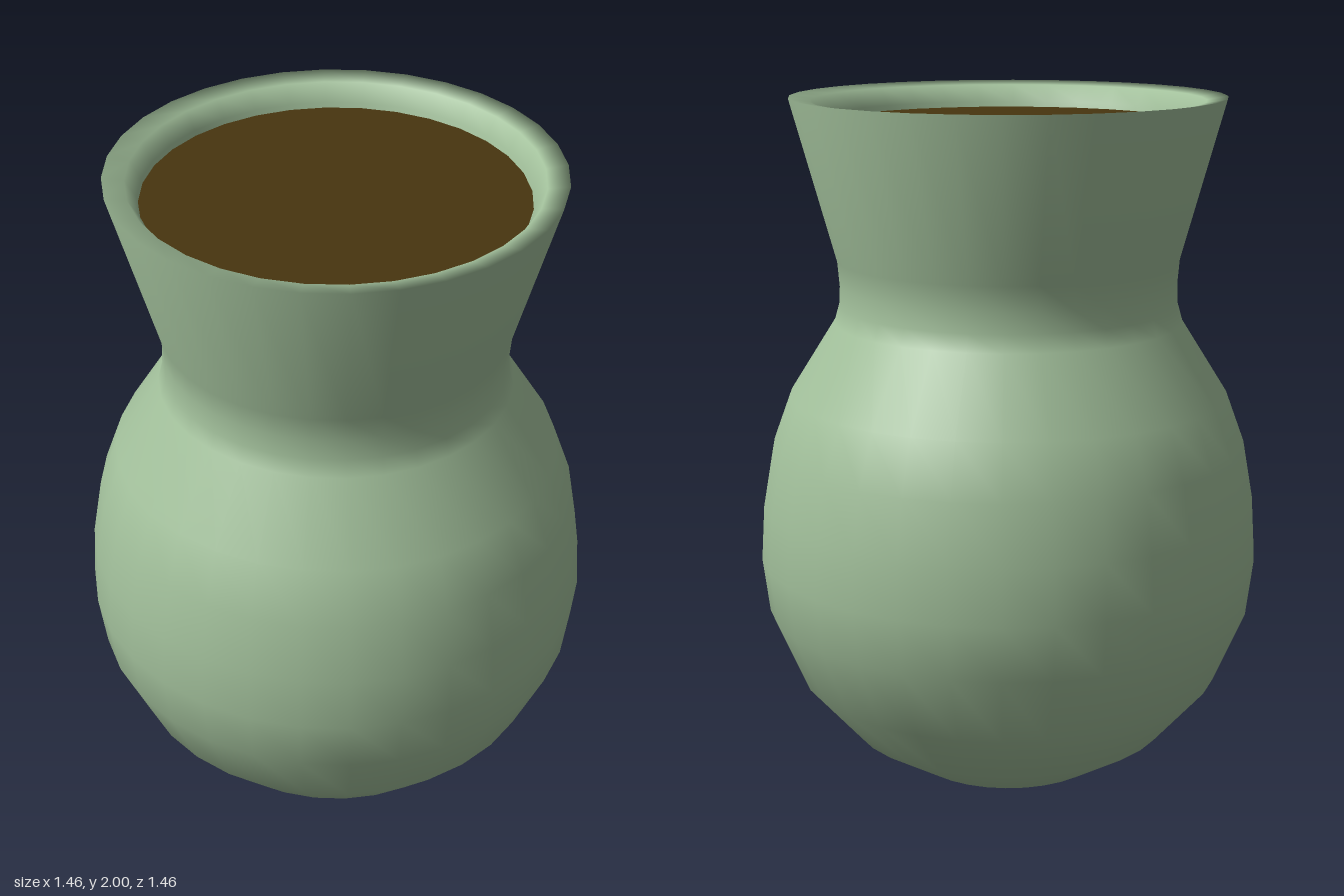
import * as THREE from 'three';

const SEGMENTS = 32;

export function createModel() {
  const model = new THREE.Group();
  model.name = 'plantPot';

  const glaze = new THREE.MeshStandardMaterial({ color: 0xa2c09b });
  glaze.name = 'sage green glaze';
  const earth = new THREE.MeshStandardMaterial({ color: 0x48350f });
  earth.name = 'dark brown soil';

  // Pot wall: base, round belly, narrow neck, flared mouth, then over the rim and inside
  const profile = [
    [0, 0], [0.17, 0.005], [0.29, 0.02], [0.47, 0.13], [0.62, 0.3],
    [0.71, 0.51], [0.73, 0.67], [0.72, 0.83], [0.69, 1.0], [0.635, 1.15],
    [0.503, 1.36], [0.489, 1.41], [0.487, 1.47], [0.493, 1.54],
    [0.62, 2], [0.56, 1.99], [0.53, 1.94], [0.515, 1.86],
  ].map(([r, y]) => new THREE.Vector2(r, y));
  const pot = new THREE.Mesh(new THREE.LatheGeometry(profile, SEGMENTS), glaze);
  pot.name = 'pot';
  model.add(pot);

  // Soil surface just below the rim
  const soil = new THREE.Mesh(new THREE.CircleGeometry(0.528, SEGMENTS), earth);
  soil.name = 'soil';
  soil.rotation.x = -Math.PI / 2;
  soil.position.y = 1.925;
  model.add(soil);

  return model;
}
